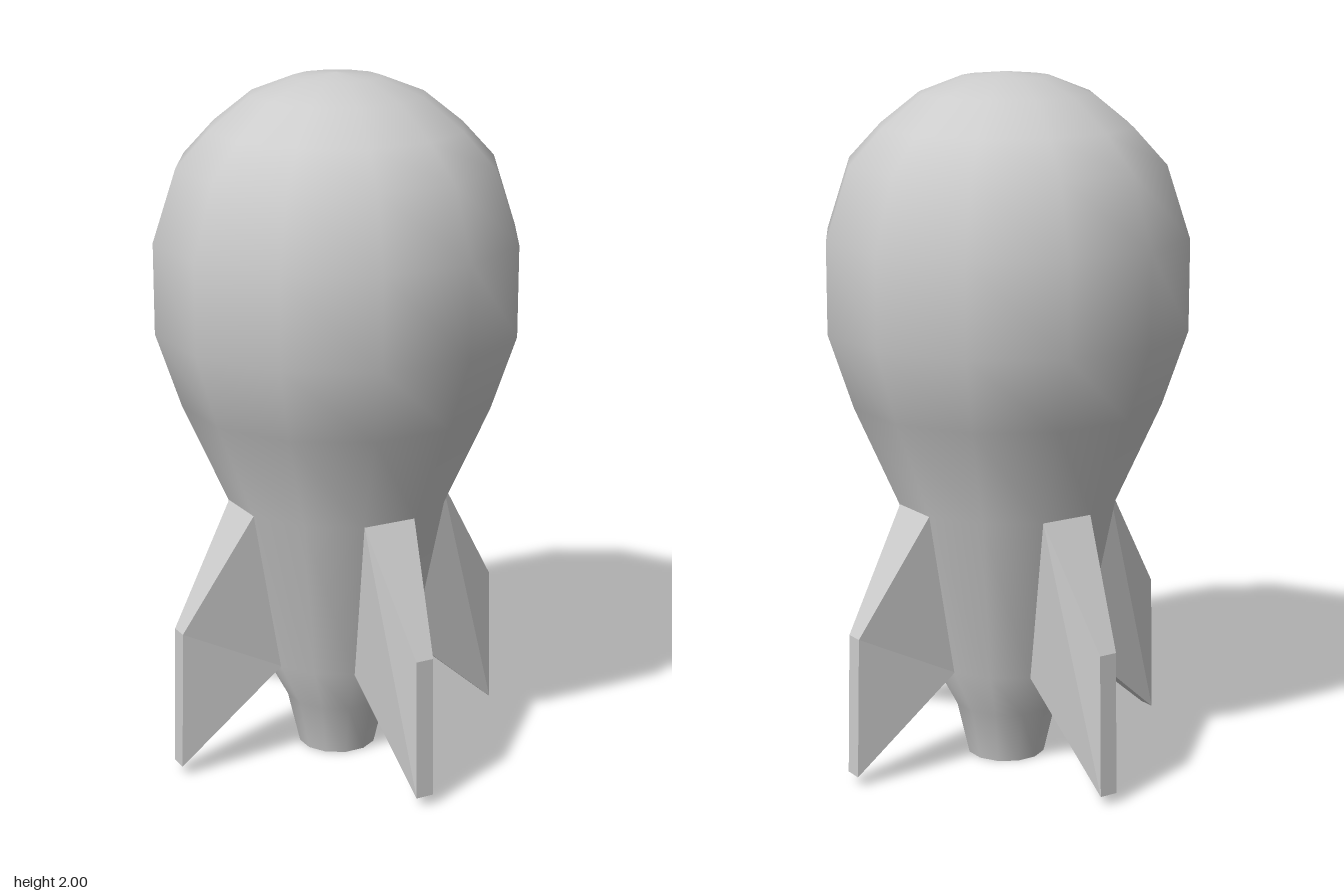
import * as THREE from 'three';

const SIDES = 12;
const TURN = Math.PI / SIDES; // a flat side faces each axis

// Revolve a profile given as [distance to flat side, height]
function revolve(profile) {
  const points = profile.map(([r, y]) => new THREE.Vector2(r / Math.cos(TURN), y));
  return new THREE.LatheGeometry(points, SIDES, TURN);
}

// Swept fin pointing to +x: wide at the hull, narrow at the outer edge
function finGeometry() {
  // outline corners: [x, y, half width]
  const outline = [
    [0.31, 0.78, 0.08],
    [0.215, 0.295, 0.059],
    [0.522, 0.03, 0.027],
    [0.512, 0.44, 0.027],
  ];
  const front = outline.map(([x, y, w]) => [x, y, w]);
  const back = outline.map(([x, y, w]) => [x, y, -w]);
  const positions = [];
  const quad = (a, b, c, d) => positions.push(...a, ...b, ...c, ...a, ...c, ...d);
  quad(front[0], front[1], front[2], front[3]);
  quad(back[3], back[2], back[1], back[0]);
  for (let i = 0; i < 4; i++) {
    const j = (i + 1) % 4;
    quad(front[j], front[i], back[i], back[j]);
  }
  const geometry = new THREE.BufferGeometry();
  geometry.setAttribute('position', new THREE.Float32BufferAttribute(positions, 3));
  geometry.computeVertexNormals();
  return geometry;
}

export function createModel() {
  const model = new THREE.Group();
  model.name = 'rocket';
  const grey = new THREE.MeshStandardMaterial({ color: 0xcccccc });
  grey.name = 'light grey';

  const add = (name, geometry) => {
    const mesh = new THREE.Mesh(geometry, grey);
    mesh.name = name;
    model.add(mesh);
    return mesh;
  };

  // Bulbous hull tapering down to the nozzle
  add('hull', revolve([
    [0.11, 0], [0.145, 0.155], [0.217, 0.295], [0.31, 0.78],
    [0.435, 1.07], [0.505, 1.285], [0.505, 1.545], [0.44, 1.75],
    [0.35, 1.85], [0.24, 1.94], [0.12, 1.988], [0, 2],
  ]));

  // Nozzle rim and its shallow recess
  add('nozzleRim', revolve([[0.085, 0], [0.11, 0]]));
  add('nozzleWall', revolve([[0.075, 0.04], [0.085, 0]]));
  add('nozzleFloor', revolve([[0, 0.04], [0.075, 0.04]]));

  // Four fins around the tail
  const fin = finGeometry();
  for (let i = 0; i < 4; i++) {
    add(`fin${i + 1}`, fin).rotation.y = i * Math.PI / 2;
  }
  return model;
}
